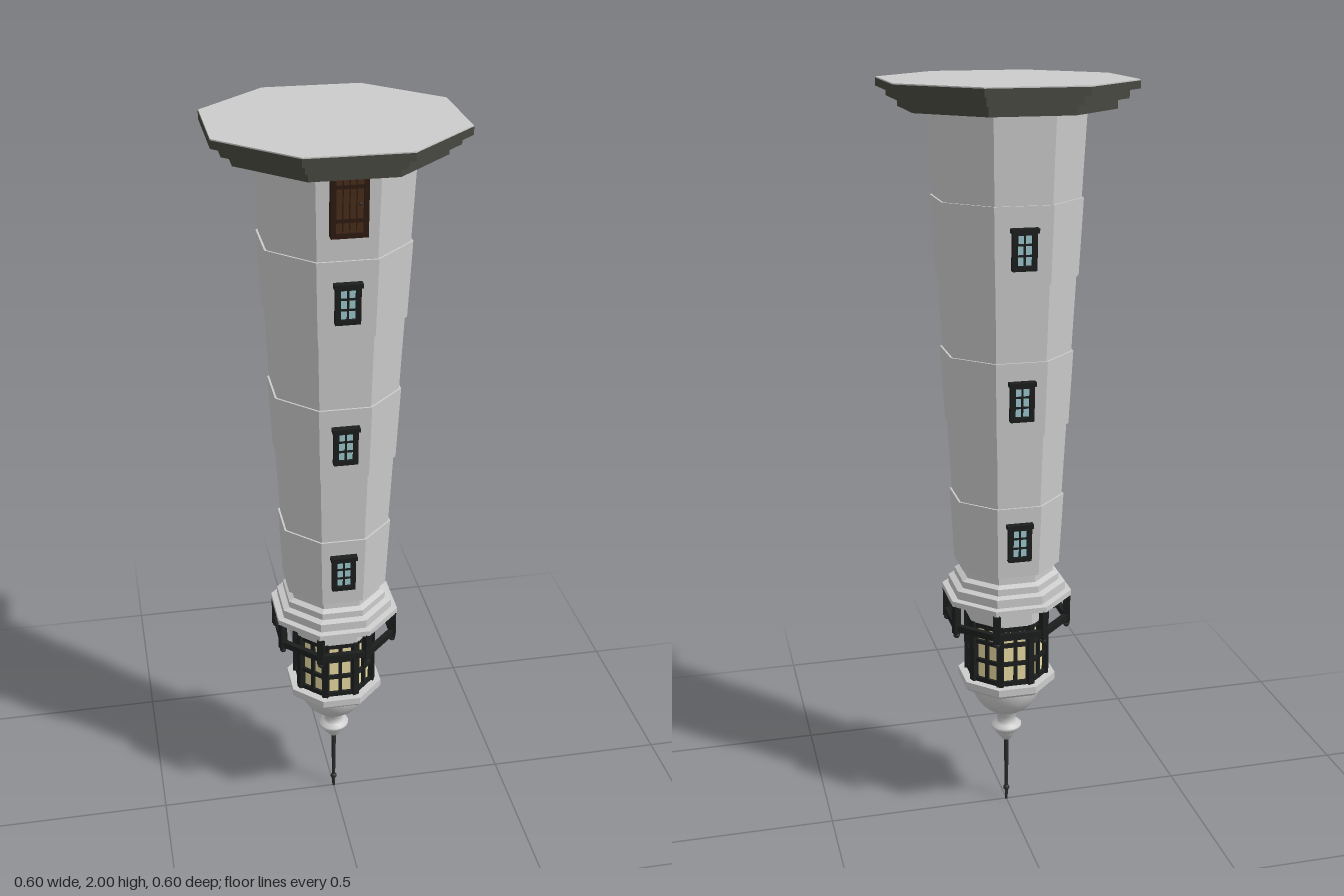
import * as THREE from 'three';

const mat = (color, extra = {}) => new THREE.MeshStandardMaterial({ color, ...extra });
const stone = mat(0xcccccc, { flatShading: true });
const smoothStone = mat(0xcccccc);
const slate = mat(0x46473f, { flatShading: true });
const iron = mat(0x1c1e1e, { flatShading: true });
const smoothIron = mat(0x2a2c2c);
const wood = mat(0x4a2d1a);
const darkWood = mat(0x2e1c11);
const paneBlue = mat(0x9cc8cf);
const paneWarm = mat(0xe6d9a0, { flatShading: true });

const K = 1 / Math.cos(Math.PI / 8); // flat-to-corner ratio of an octagon
const SLOPE = 0.0487;
const wallAt = (y) => 0.185 - (1.93 - y) * SLOPE;

function add(parent, name, geometry, material, x = 0, y = 0, z = 0) {
  const mesh = new THREE.Mesh(geometry, material);
  mesh.name = name;
  mesh.position.set(x, y, z);
  parent.add(mesh);
  return mesh;
}
const box = (parent, name, w, h, d, material, x, y, z) =>
  add(parent, name, new THREE.BoxGeometry(w, h, d), material, x, y, z);

// Octagonal solid from [flat half-width, y] pairs, listed bottom to top
const octagon = (parent, name, profile, material) =>
  add(parent, name, new THREE.LatheGeometry(
    profile.map(([a, y]) => new THREE.Vector2(a * K, y)), 8, Math.PI / 8), material);

// Round turned solid, listed bottom to top
const turned = (parent, name, profile, material) =>
  add(parent, name, new THREE.LatheGeometry(
    profile.map(([r, y]) => new THREE.Vector2(r, y)), 24), material);

// Hollow octagonal ring
const ring = (parent, name, inner, outer, y0, y1, material) =>
  octagon(parent, name, [[inner, y0], [outer, y0], [outer, y1], [inner, y1], [inner, y0]], material);

function makeWindow() {
  const w = new THREE.Group();
  w.name = 'window';
  box(w, 'windowPane', 0.044, 0.084, 0.016, paneBlue, 0, 0, 0);
  for (const s of [-1, 1]) {
    box(w, 'windowJamb', 0.013, 0.1, 0.03, iron, s * 0.0245, 0, 0);
    box(w, 'windowRail', 0.06, 0.013, 0.03, iron, 0, s * 0.044, 0);
    box(w, 'windowBar', 0.044, 0.005, 0.022, iron, 0, s * 0.0135, 0);
  }
  box(w, 'windowMullion', 0.005, 0.084, 0.022, iron, 0, 0, 0);
  box(w, 'windowSill', 0.07, 0.011, 0.036, iron, 0, 0.048, 0);
  return w;
}

function makeDoor() {
  const d = new THREE.Group();
  d.name = 'door';
  box(d, 'doorPanel', 0.066, 0.14, 0.03, wood, 0, 0.005, 0);
  for (const s of [-1, 1]) box(d, 'doorJamb', 0.012, 0.152, 0.042, darkWood, s * 0.038, 0, 0);
  box(d, 'doorLintel', 0.088, 0.012, 0.042, darkWood, 0, -0.07, 0);
  for (let i = -1; i <= 1; i++) box(d, 'doorGroove', 0.003, 0.13, 0.032, darkWood, i * 0.016, 0.005, 0);
  for (const y of [-0.035, 0.045]) box(d, 'doorBrace', 0.064, 0.009, 0.036, darkWood, 0, y, 0);
  add(d, 'doorKnob', new THREE.SphereGeometry(0.004, 10, 8), smoothIron, 0.024, 0.005, 0.019);
  return d;
}

export function createModel() {
  const model = new THREE.Group();
  model.name = 'invertedLighthouse';

  // Stepped foundation, uppermost
  octagon(model, 'foundationSteps', [
    [0, 1.93], [0.252, 1.93], [0.252, 1.955], [0.278, 1.955],
    [0.278, 1.978], [0.302, 1.978], [0.302, 1.997], [0, 1.997],
  ], slate);
  octagon(model, 'foundationCap', [[0.301, 1.996], [0.301, 2], [0, 2]], stone);

  // Tapered tower, every second band standing slightly proud
  const levels = [0.74, 0.935, 1.13, 1.325, 1.52, 1.715, 1.935];
  const wall = [];
  for (let i = 0; i < 6; i++) {
    const out = i % 2 === 0 ? 0.005 : 0;
    wall.push([wallAt(levels[i]) + out, levels[i]], [wallAt(levels[i + 1]) + out, levels[i + 1]]);
  }
  octagon(model, 'tower', [[0, 0.74], ...wall], stone);

  // Windows on front and back, door on the front
  for (const side of [0, 1]) {
    const face = new THREE.Group();
    face.name = side ? 'backFace' : 'frontFace';
    face.rotation.y = side * Math.PI;
    for (const y of [0.84, 1.225, 1.61]) {
      const w = makeWindow();
      w.position.set(0, y, wallAt(y) + 0.005);
      w.rotation.x = Math.atan(SLOPE);
      face.add(w);
    }
    if (!side) {
      const door = makeDoor();
      door.position.set(0, 1.854, wallAt(1.854) + 0.002);
      door.rotation.x = Math.atan(SLOPE);
      face.add(door);
    }
    model.add(face);
  }

  // Moulded gallery deck
  octagon(model, 'galleryDeck', [
    [0, 0.645], [0.164, 0.645], [0.164, 0.66], [0.148, 0.662], [0.148, 0.685],
    [0.132, 0.69], [0.132, 0.708], [0.118, 0.715], [0.118, 0.735], [0.127, 0.742], [0, 0.742],
  ], stone);
  octagon(model, 'lanternDrum', [[0, 0.585], [0.107, 0.585], [0.107, 0.65]], stone);

  // Railing
  ring(model, 'galleryRail', 0.146, 0.16, 0.572, 0.59, iron);
  for (let i = 0; i < 8; i++) {
    const a = Math.PI / 8 + i * Math.PI / 4, r = 0.153 * K;
    const post = box(model, 'galleryPost', 0.018, 0.082, 0.018, iron, Math.sin(a) * r, 0.606, Math.cos(a) * r);
    post.rotation.y = a;
    add(model, 'postKnob', new THREE.SphereGeometry(0.009, 10, 8), smoothIron,
      Math.sin(a) * r, 0.56, Math.cos(a) * r);
  }

  // Glazed lantern with its iron grid
  octagon(model, 'lanternGlass', [[0, 0.41], [0.096, 0.41], [0.096, 0.588], [0, 0.588]], paneWarm);
  for (const [y, h] of [[0.416, 0.014], [0.474, 0.011], [0.529, 0.011], [0.579, 0.018]])
    ring(model, 'lanternBar', 0.093, 0.104, y - h / 2, y + h / 2, iron);
  for (let i = 0; i < 8; i++) {
    const a = i * Math.PI / 4, c = a + Math.PI / 8, r = 0.1 * K;
    box(model, 'lanternMullion', 0.009, 0.175, 0.012, iron,
      Math.sin(a) * 0.099, 0.498, Math.cos(a) * 0.099).rotation.y = a;
    box(model, 'lanternCornerPost', 0.018, 0.178, 0.016, iron,
      Math.sin(c) * r, 0.498, Math.cos(c) * r).rotation.y = c;
  }

  // Cornice and dome
  octagon(model, 'domeCornice', [
    [0, 0.382], [0.118, 0.382], [0.125, 0.39], [0.125, 0.41], [0, 0.41],
  ], stone);
  const dome = add(model, 'dome',
    new THREE.SphereGeometry(0.098, 32, 12, 0, Math.PI * 2, Math.PI / 2, Math.PI / 2), smoothStone, 0, 0.384, 0);
  dome.scale.y = 1.05;

  // Finial and spike
  turned(model, 'finial', [
    [0, 0.193], [0.012, 0.195], [0.02, 0.205], [0.03, 0.218], [0.032, 0.23], [0.042, 0.234],
    [0.042, 0.243], [0.03, 0.248], [0.025, 0.258], [0.027, 0.272], [0.036, 0.29],
  ], smoothStone);
  add(model, 'spike', new THREE.CylinderGeometry(0.007, 0.004, 0.2, 10), smoothIron, 0, 0.1, 0);
  add(model, 'spikeBall', new THREE.SphereGeometry(0.009, 12, 8), smoothIron, 0, 0.036, 0);

  return model;
}
